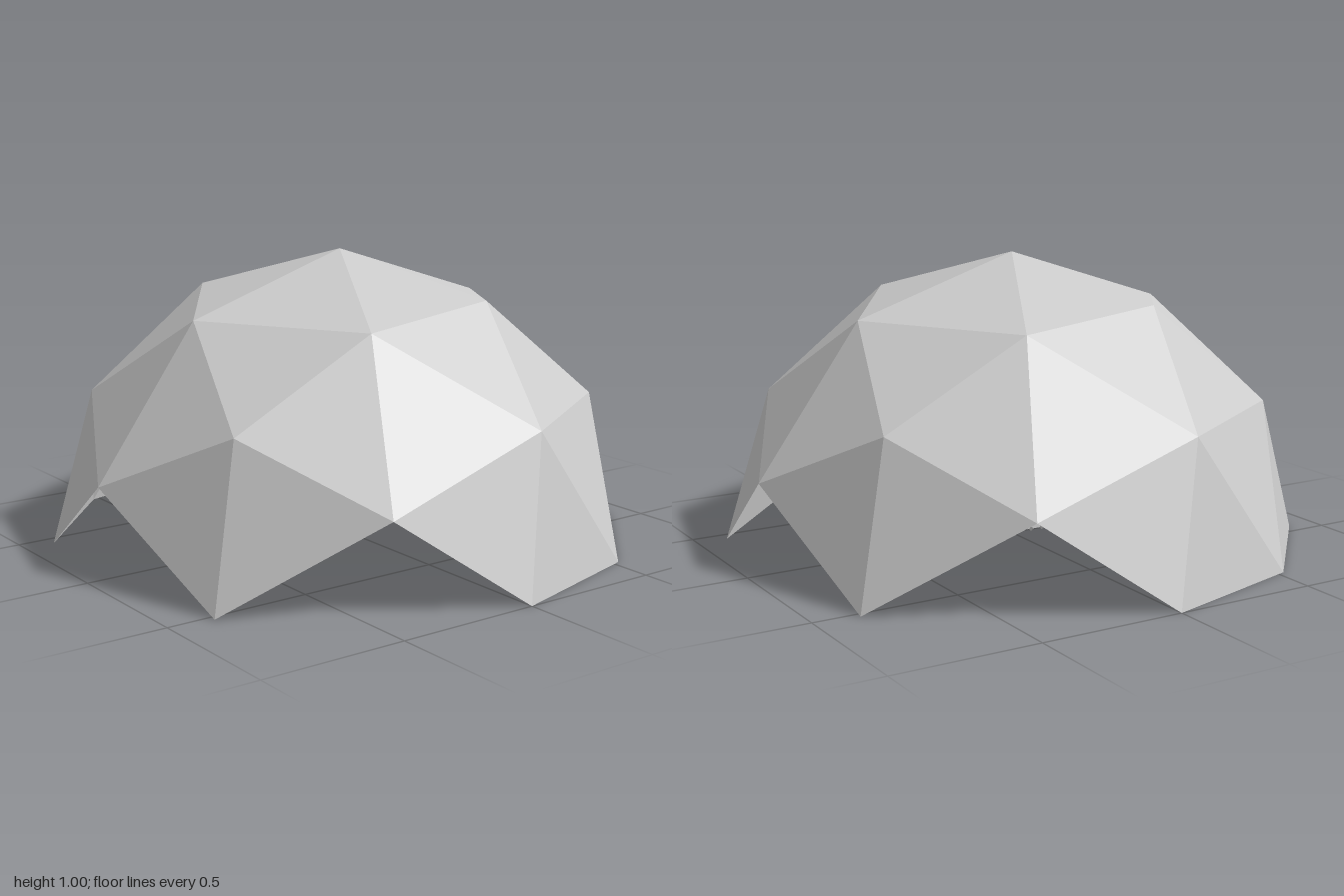
import * as THREE from 'three';

const shellGrey = new THREE.MeshStandardMaterial({ color: 0xcccccc, side: THREE.DoubleSide, flatShading: true });
shellGrey.name = 'shell grey';
const wheelGrey = new THREE.MeshStandardMaterial({ color: 0x8c8c8c });
wheelGrey.name = 'wheel grey';

// Upper half of a subdivided icosahedron: only triangles wholly above ground
function domeGeometry() {
  const source = new THREE.IcosahedronGeometry(1, 1).getAttribute('position');
  const kept = [];
  for (let i = 0; i < source.count; i += 3) {
    const corners = [0, 1, 2].map(k => new THREE.Vector3().fromBufferAttribute(source, i + k));
    if (corners.every(c => c.y > -0.001)) corners.forEach(c => kept.push(c.x, Math.max(c.y, 0), c.z));
  }
  const geometry = new THREE.BufferGeometry();
  geometry.setAttribute('position', new THREE.Float32BufferAttribute(kept, 3));
  geometry.computeVertexNormals();
  return geometry;
}

// Side outline (forward, up) extruded across the car's width
function extrudedProfile(name, points, width) {
  const shape = new THREE.Shape(points.map(p => new THREE.Vector2(...p)));
  const geometry = new THREE.ExtrudeGeometry(shape, { depth: width, bevelEnabled: false });
  geometry.translate(0, 0, -width / 2).rotateY(-Math.PI / 2);
  const mesh = new THREE.Mesh(geometry, shellGrey);
  mesh.name = name;
  return mesh;
}

// Tiny car parked under the dome, facing the front
function createCar() {
  const car = new THREE.Group();
  car.name = 'car';
  car.add(extrudedProfile('carBody',
    [[-0.036, 0.007], [0.036, 0.007], [0.036, 0.017], [0.018, 0.021], [-0.034, 0.022]], 0.034));
  car.add(extrudedProfile('carCabin',
    [[-0.031, 0.02], [0.018, 0.02], [0.006, 0.034], [-0.019, 0.034]], 0.028));
  for (const x of [-0.015, 0.015]) {
    for (const z of [-0.022, 0.023]) {
      const wheel = new THREE.Mesh(new THREE.CylinderGeometry(0.007, 0.007, 0.006, 16), wheelGrey);
      wheel.name = 'carWheel';
      wheel.rotation.z = Math.PI / 2;
      wheel.position.set(x, 0.007, z);
      car.add(wheel);
    }
  }
  car.position.z = 0.092;
  return car;
}

export function createModel() {
  const model = new THREE.Group();
  model.name = 'geodesicDome';

  // Turned so that two opposite corners lie on the x axis
  const dome = new THREE.Mesh(domeGeometry(), shellGrey);
  dome.name = 'domeShell';
  dome.rotation.y = Math.atan(2 / (1 + Math.sqrt(5)));
  model.add(dome, createCar());
  return model;
}
